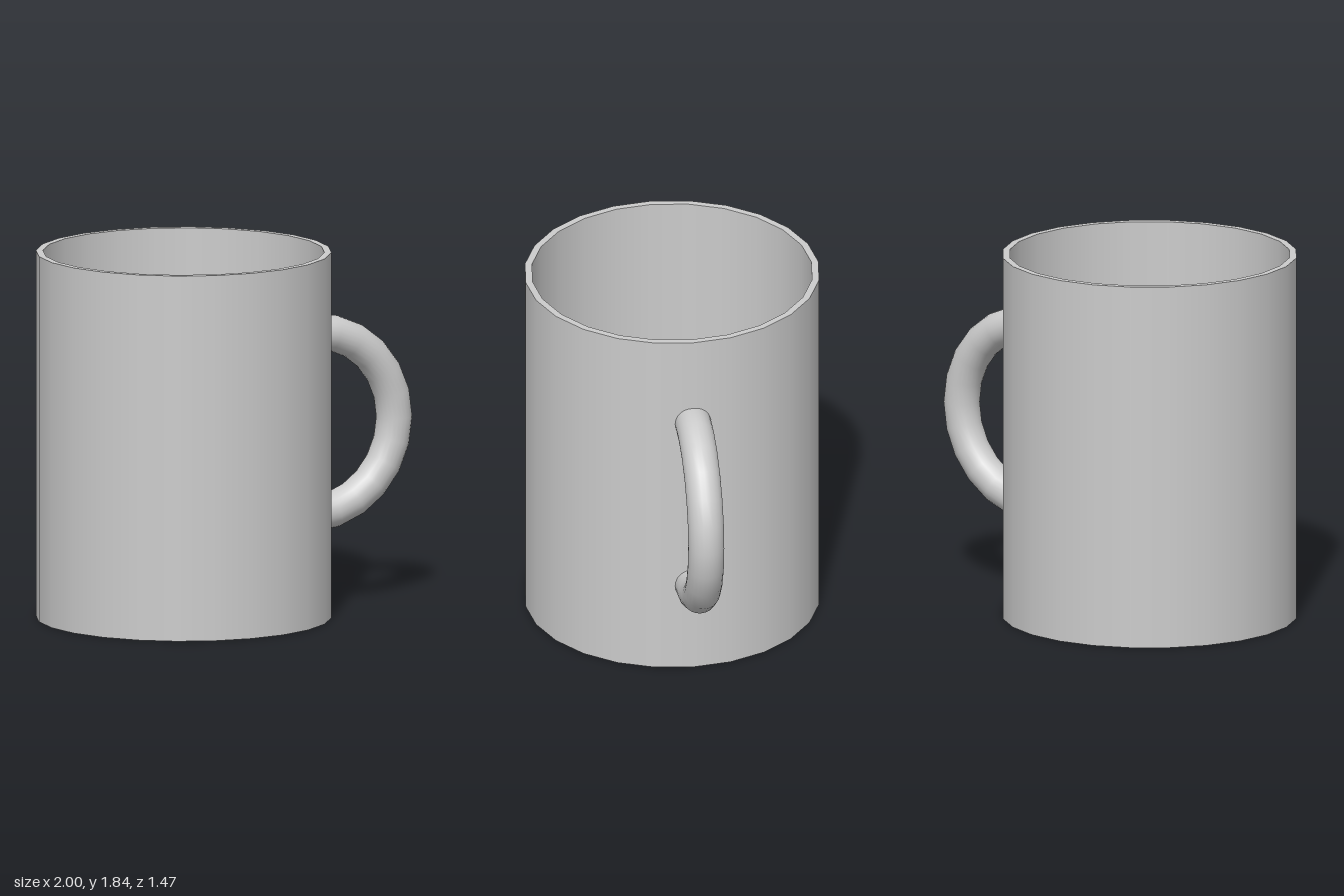
import * as THREE from 'three';

const SIDES = 24;
const OUTER = 0.735, INNER = 0.7, HEIGHT = 1.84, FLOOR = 0.035;

export function createModel() {
  const mug = new THREE.Group();
  mug.name = 'mug';
  const material = new THREE.MeshStandardMaterial({ color: 0xcccccc });

  // Cup body: each profile segment is its own lathe, so its edges stay sharp
  const body = new THREE.Group();
  body.name = 'body';
  body.position.x = -0.265;
  const profile = [[0, 0], [OUTER, 0], [OUTER, HEIGHT], [INNER, HEIGHT], [INNER, FLOOR], [0, FLOOR]]
    .map(([r, y]) => new THREE.Vector2(r, y));
  ['underside', 'outerWall', 'rim', 'innerWall', 'innerFloor'].forEach((name, i) => {
    const part = new THREE.Mesh(new THREE.LatheGeometry(profile.slice(i, i + 2), SIDES), material);
    part.name = name;
    body.add(part);
  });
  mug.add(body);

  // Handle: half ring whose ends sink into the wall
  const handle = new THREE.Mesh(new THREE.TorusGeometry(0.46, 0.09, 24, 12, Math.PI), material);
  handle.name = 'handle';
  handle.rotation.z = -Math.PI / 2;
  handle.position.set(0.45, HEIGHT / 2, 0);
  mug.add(handle);

  return mug;
}
